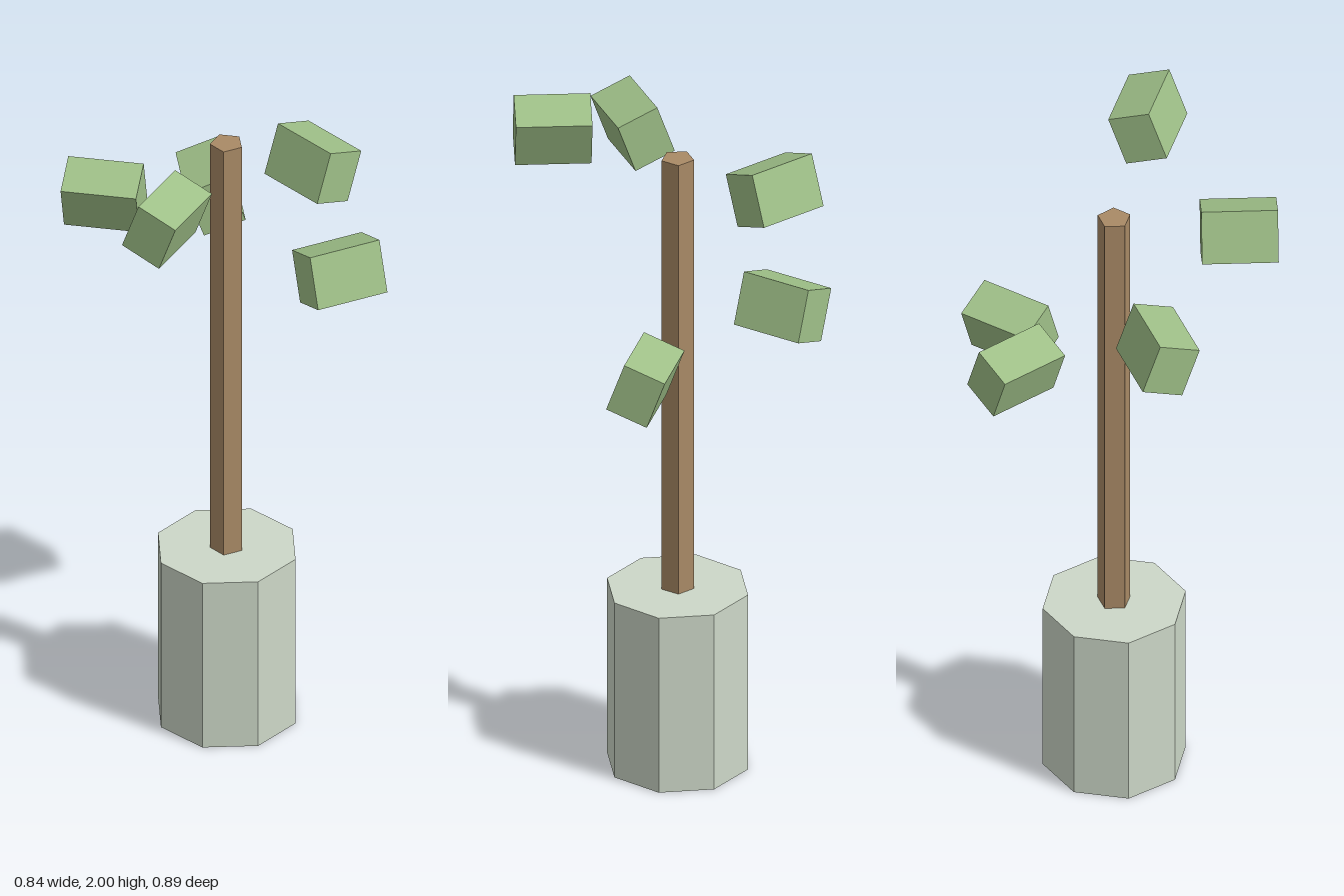
import * as THREE from 'three';

const material = (color) => new THREE.MeshStandardMaterial({ color, flatShading: true });

function addPrism(parent, name, radius, bottom, top, sides, mat) {
  const mesh = new THREE.Mesh(new THREE.CylinderGeometry(radius, radius, top - bottom, sides), mat);
  mesh.name = name;
  mesh.position.y = (bottom + top) / 2;
  parent.add(mesh);
  return mesh;
}

export function createModel() {
  const model = new THREE.Group();
  model.name = 'pottedPlant';

  // Everything grows around the pot axis, slightly off the centre of the bounds
  const plant = new THREE.Group();
  plant.name = 'plant';
  plant.position.x = -0.018;
  model.add(plant);

  // Octagonal pot and five-sided stem, one stem edge pointing back
  addPrism(plant, 'pot', 0.196, 0, 0.525, 8, material(0xcdd8c8));
  const stem = addPrism(plant, 'stem', 0.046, 0.52, 1.815, 5, material(0xa98a66));
  stem.rotation.y = Math.PI;

  // Five tilted leaf blocks climbing in a spiral around the stem
  const leafGeometry = new THREE.BoxGeometry(0.206, 0.147, 0.12);
  const leafMaterial = material(0x9fc088);
  for (let i = 0; i < 5; i++) {
    const arm = new THREE.Group();
    arm.name = `leafArm${i + 1}`;
    arm.rotation.y = (i * Math.PI * 2) / 5;
    const leaf = new THREE.Mesh(leafGeometry, leafMaterial);
    leaf.name = `leaf${i + 1}`;
    leaf.position.set(0.336, 1.311 + i * 0.15, 0);
    leaf.rotation.x = -0.349;
    arm.add(leaf);
    plant.add(arm);
  }

  return model;
}
